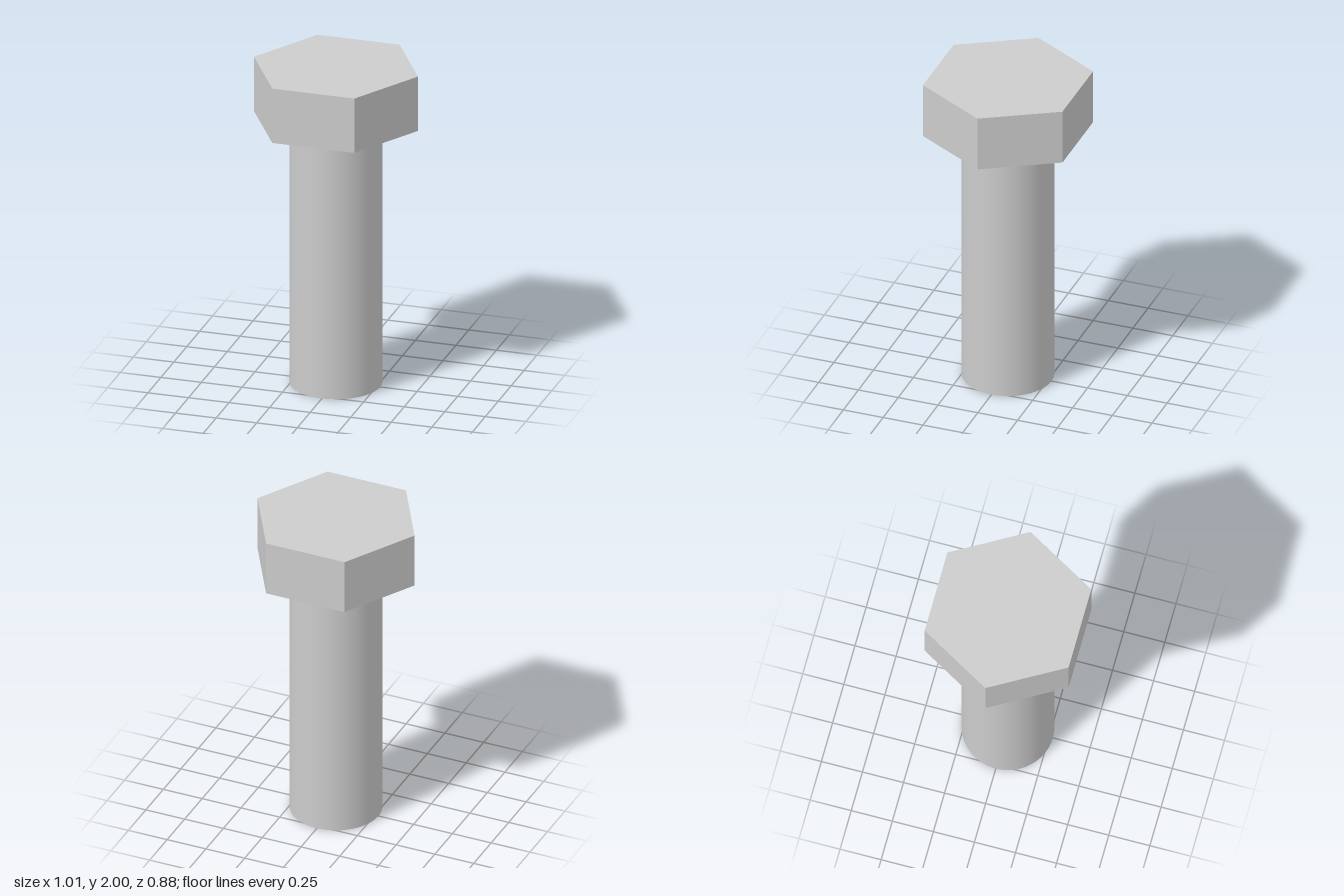
import * as THREE from 'three';

const HEIGHT = 2;
const HEAD_BOTTOM = 1.655;
const HEAD_RADIUS = 0.506; // centre to corner
const SHANK_RADIUS = 0.273;

export function createModel() {
  const group = new THREE.Group();
  group.name = 'hexBolt';

  const steel = new THREE.MeshStandardMaterial({ color: 0xcccccc });
  steel.name = 'light grey steel';

  // Round, plain shank
  const shankGeometry = new THREE.CylinderGeometry(SHANK_RADIUS, SHANK_RADIUS, HEAD_BOTTOM, 64);
  shankGeometry.translate(0, HEAD_BOTTOM / 2, 0);
  const shank = new THREE.Mesh(shankGeometry, steel);
  shank.name = 'shank';

  // Six-sided head with corners on the x axis and hard edges
  const headHeight = HEIGHT - HEAD_BOTTOM;
  const headGeometry = new THREE.CylinderGeometry(HEAD_RADIUS, HEAD_RADIUS, headHeight, 6)
    .rotateY(Math.PI / 6)
    .translate(0, HEAD_BOTTOM + headHeight / 2, 0)
    .toNonIndexed();
  headGeometry.computeVertexNormals();
  const head = new THREE.Mesh(headGeometry, steel);
  head.name = 'head';

  group.add(shank, head);
  return group;
}
